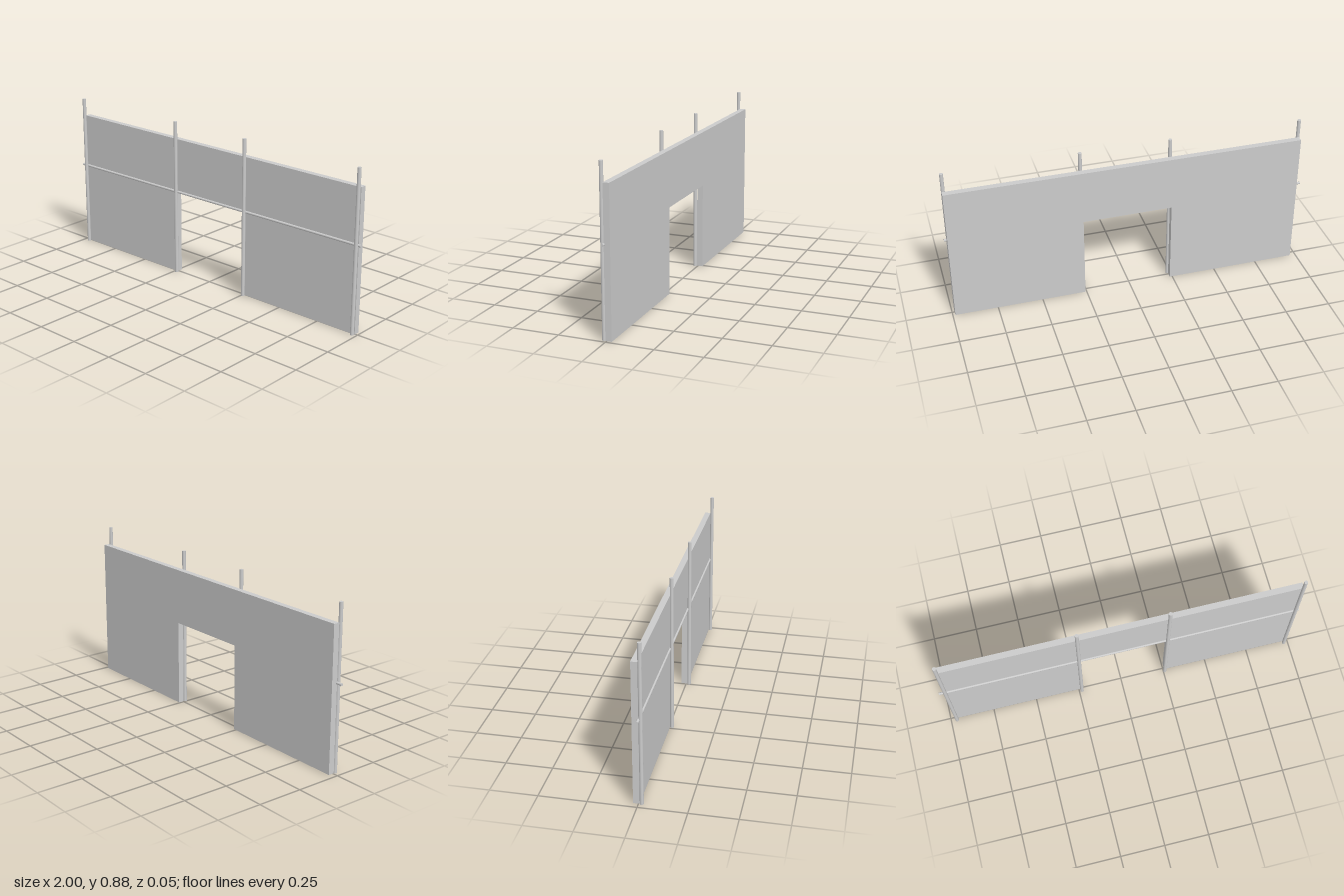
import * as THREE from 'three';

export function createModel() {
  const model = new THREE.Group();
  const material = new THREE.MeshStandardMaterial({ color: 0xcccccc });
  const add = (name, geometry, x, y, z) => {
    const mesh = new THREE.Mesh(geometry, material);
    mesh.name = name;
    mesh.position.set(x, y, z);
    model.add(mesh);
    return mesh;
  };

  // Wall slab with a central doorway
  const outline = [
    [-0.968, 0], [-0.236, 0], [-0.236, 0.475], [0.257, 0.475],
    [0.257, 0], [0.986, 0], [0.986, 0.78], [-0.968, 0.78],
  ].map(([x, y]) => new THREE.Vector2(x, y));
  const wall = new THREE.ExtrudeGeometry(new THREE.Shape(outline), { depth: 0.033, bevelEnabled: false });
  add('wall', wall, 0, 0, -0.027);

  // Round posts on the front face, at both ends and beside the doorway
  const postHeight = 0.882;
  const post = new THREE.CylinderGeometry(0.01, 0.01, postHeight, 20);
  for (const x of [-0.966, -0.234, 0.258, 0.977]) add('post', post, x, postHeight / 2, 0.0165);

  // Thin rail running the full width, rising slightly towards +x
  const rail = add('rail', new THREE.CylinderGeometry(0.007, 0.007, 2, 16), 0, 0.478, 0.007);
  rail.rotation.z = -Math.PI / 2 + 0.0025;

  return model;
}
